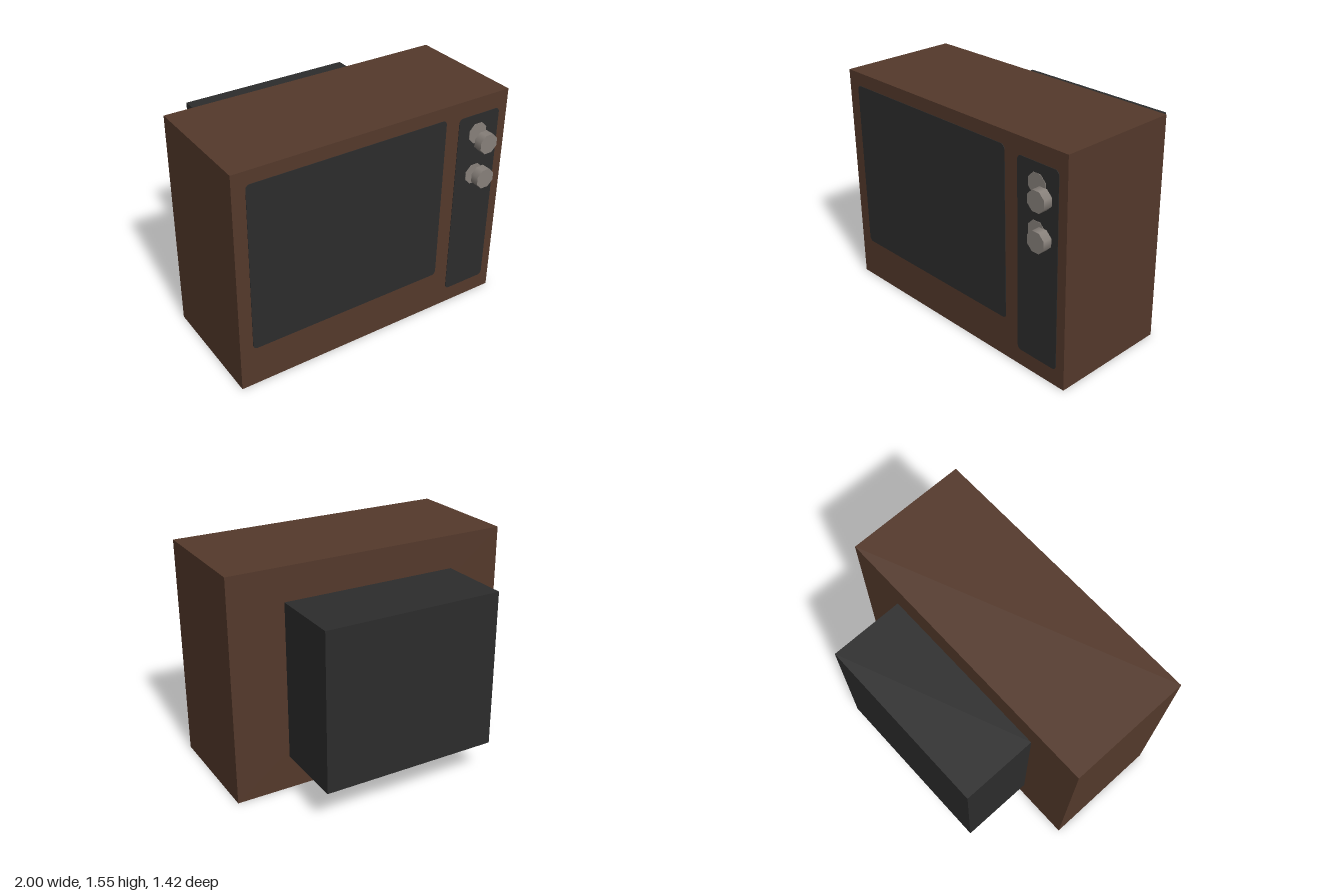
import * as THREE from 'three';

const mat = (name, color) => {
  const m = new THREE.MeshStandardMaterial({ color });
  m.name = name;
  return m;
};

export function createModel() {
  const brown = mat('brown wood', 0x54392b);
  const black = mat('charcoal', 0x2c2c2c);
  const grey = mat('warm grey', 0x87807a);
  const tv = new THREE.Group();
  tv.name = 'television';
  const FRONT = 0.645, BACK = -0.195;

  const add = (name, geometry, material, x, y, z) => {
    const mesh = new THREE.Mesh(geometry, material);
    mesh.name = name;
    mesh.position.set(x, y, z);
    tv.add(mesh);
  };

  // Thin plate with small rounded corners, laid on the cabinet front
  const plate = (name, x0, x1, y0, y1, r) => {
    const s = new THREE.Shape();
    s.absarc(x1 - r, y1 - r, r, 0, Math.PI / 2);
    s.absarc(x0 + r, y1 - r, r, Math.PI / 2, Math.PI);
    s.absarc(x0 + r, y0 + r, r, Math.PI, Math.PI * 1.5);
    s.absarc(x1 - r, y0 + r, r, Math.PI * 1.5, Math.PI * 2);
    const g = new THREE.ExtrudeGeometry(s, { depth: 0.003, bevelEnabled: false, curveSegments: 4 });
    add(name, g, black, 0, 0, FRONT);
  };

  // Octagonal cylinder facing +z, flats up and sideways
  const octagon = (radius, depth) =>
    new THREE.CylinderGeometry(radius, radius, depth, 8)
      .rotateY(Math.PI / 8).rotateX(Math.PI / 2);

  // Wooden cabinet and rear tube housing
  add('cabinet', new THREE.BoxGeometry(2, 1.55, FRONT - BACK), brown, 0, 0.775, (FRONT + BACK) / 2);
  add('tubeHousing', new THREE.BoxGeometry(1.24, 1.085, 0.515), black, 0, 0.7775, BACK - 0.2575);

  // Screen and control panel
  plate('screen', -0.91, 0.505, 0.285, 1.46, 0.03);
  plate('controlPanel', 0.61, 0.935, 0.115, 1.435, 0.03);

  // Each dial has a flat disc behind an offset raised knob
  for (const [name, discY, knobY] of [['upper', 1.3, 1.23], ['lower', 1.0, 0.973]]) {
    add(name + 'DialDisc', octagon(0.074, 0.006), grey, 0.768, discY, FRONT + 0.003);
    add(name + 'Knob', octagon(0.072, 0.065), grey, 0.818, knobY, FRONT + 0.0325);
  }
  return tv;
}
